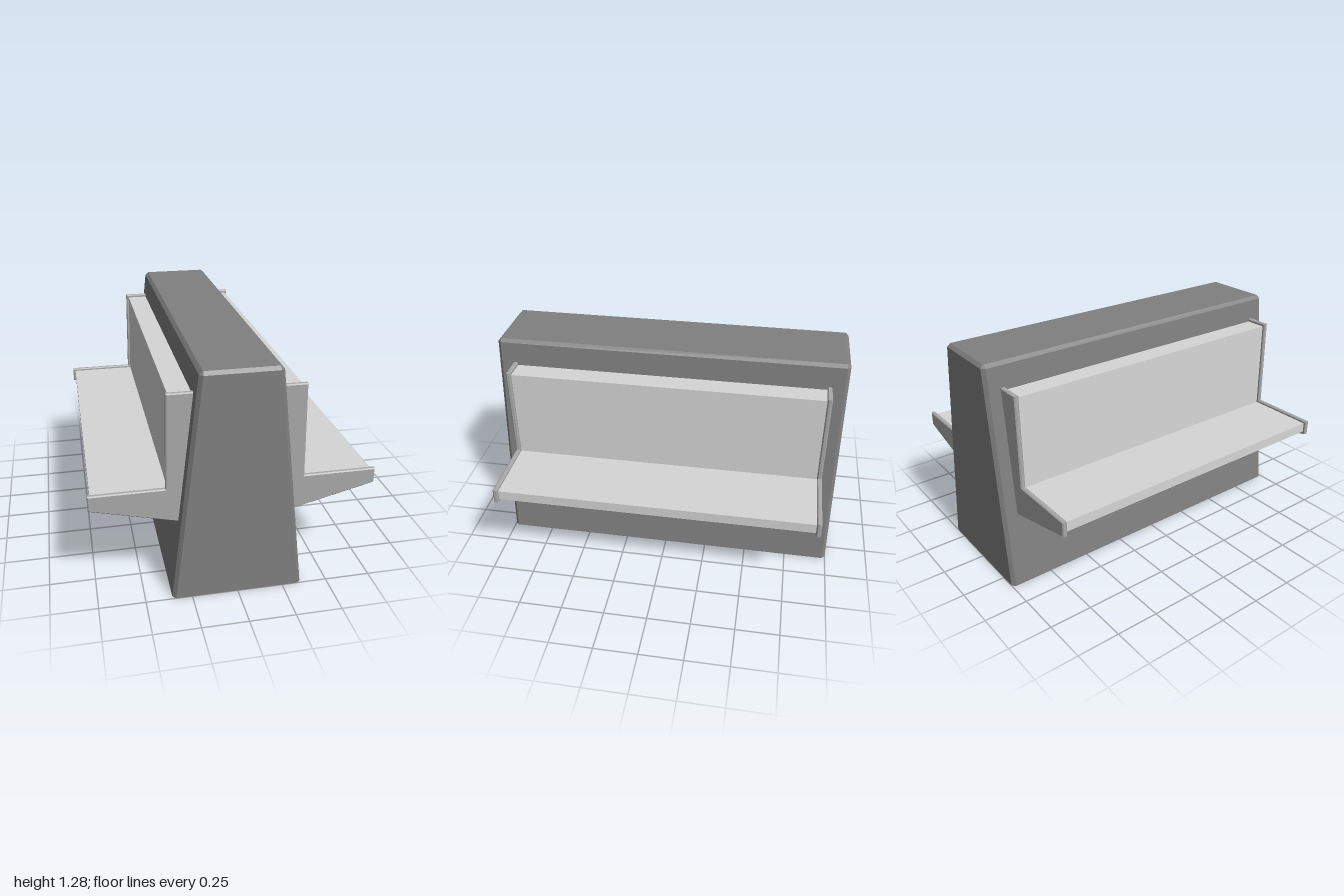
import * as THREE from 'three';

const bodyMat = new THREE.MeshStandardMaterial({ color: 0x808080, side: THREE.DoubleSide });
bodyMat.name = 'darkGrey';
const panelMat = new THREE.MeshStandardMaterial({ color: 0xa9a9a9 });
panelMat.name = 'midGrey';
const seatMat = new THREE.MeshStandardMaterial({ color: 0xd6d6d6 });
seatMat.name = 'lightGrey';

// Rectangle with cut corners at height y
function ring(y, hx, hz, c) {
  return [
    [hx - c, hz], [hx, hz - c], [hx, -hz + c], [hx - c, -hz],
    [-hx + c, -hz], [-hx, -hz + c], [-hx, hz - c], [-hx + c, hz],
  ].map(([x, z]) => new THREE.Vector3(x, y, z));
}

// Tapered hollow body, open underneath, with chamfered edges
function bodyGeometry() {
  const rings = [ring(0, 0.356, 1, 0.019), ring(1.265, 0.21, 1, 0.019), ring(1.283, 0.191, 0.983, 0.004)];
  const pos = [];
  const tri = (...pts) => pts.forEach((p) => pos.push(p.x, p.y, p.z));
  for (let r = 0; r < 2; r++) {
    for (let i = 0; i < 8; i++) {
      const j = (i + 1) % 8;
      const [a, b, c, d] = [rings[r][i], rings[r][j], rings[r + 1][j], rings[r + 1][i]];
      tri(a, b, c);
      tri(a, c, d);
    }
  }
  const top = rings[2];
  for (let i = 1; i < 7; i++) tri(top[0], top[i], top[i + 1]);
  const g = new THREE.BufferGeometry();
  g.setAttribute('position', new THREE.Float32BufferAttribute(pos, 3));
  g.computeVertexNormals();
  return g;
}

// Extrudes an x-y profile along z, centred on zMid; bevel stays inside the outline
function slab(points, side, depth, zMid, bevel) {
  const shape = new THREE.Shape(points.map(([x, y]) => new THREE.Vector2(x * side, y)));
  const g = new THREE.ExtrudeGeometry(shape, {
    depth: depth - 2 * bevel,
    bevelEnabled: bevel > 0,
    bevelThickness: bevel,
    bevelSize: bevel,
    bevelOffset: -bevel,
    bevelSegments: 1,
  });
  g.translate(0, 0, zMid - depth / 2 + bevel);
  return g;
}

const panelProfile = [
  [0.21, 1.15], [0.36, 1.15], [0.37, 0.625], [0.767, 0.625],
  [0.767, 0.538], [0.295, 0.422],
];
const seatProfile = [
  [0.215, 1.133], [0.345, 1.133], [0.355, 0.61], [0.752, 0.61],
  [0.752, 0.553], [0.296, 0.438],
];

export function createModel() {
  const model = new THREE.Group();
  model.name = 'doubleBench';
  const add = (parent, name, geometry, material) => {
    const mesh = new THREE.Mesh(geometry, material);
    mesh.name = name;
    parent.add(mesh);
  };

  add(model, 'body', bodyGeometry(), bodyMat);

  // One bench on each long side
  for (const side of [1, -1]) {
    const bench = new THREE.Group();
    bench.name = side > 0 ? 'leftBench' : 'rightBench';
    add(bench, 'seatAndBackrest', slab(seatProfile, side, 1.79, 0, 0), seatMat);
    for (const end of [1, -1]) {
      add(bench, end > 0 ? 'frontEndPanel' : 'backEndPanel',
        slab(panelProfile, side, 0.027, end * 0.9, 0.006), panelMat);
    }
    model.add(bench);
  }
  return model;
}
